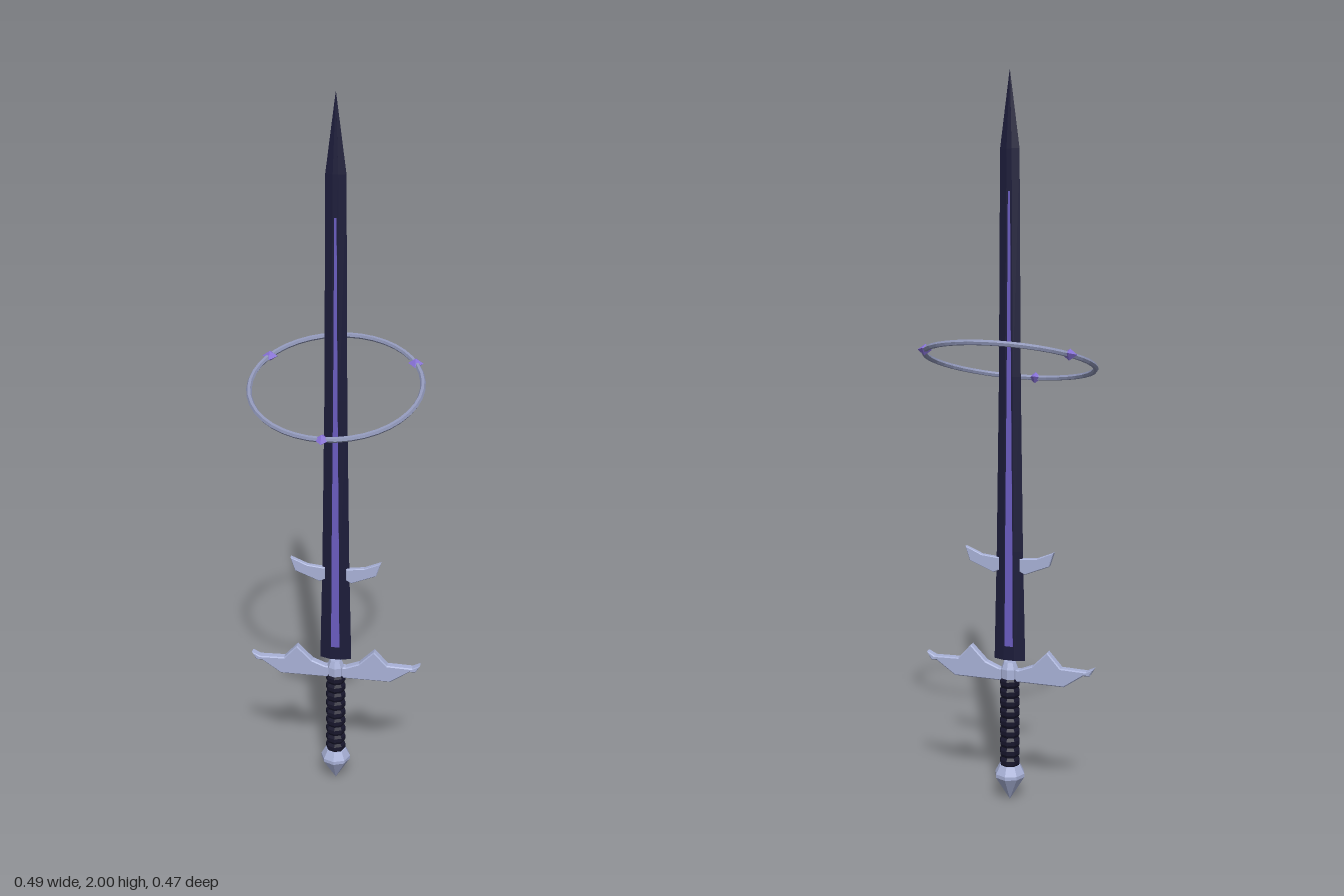
import * as THREE from 'three';

const mat = (color) => new THREE.MeshStandardMaterial({ color, flatShading: true });
const STEEL = mat(0xa9b2d8), RING = mat(0x8f96b8), DARK = mat(0x1c1c3a),
  LEATHER = mat(0x17162c), VIOLET = mat(0x6a5cc0), GEM = mat(0x8872d8);

function add(parent, name, geometry, material) {
  const mesh = new THREE.Mesh(geometry, material);
  mesh.name = name;
  parent.add(mesh);
  return mesh;
}

// Skin a stack of [y, corners] sections; corners [x, z] run from +x towards +z.
function loft(sections) {
  const n = sections[0][1].length, pos = [], idx = [];
  for (const [y, pts] of sections) for (const [x, z] of pts) pos.push(x, y, z);
  for (let j = 0; j < sections.length - 1; j++) {
    for (let i = 0; i < n; i++) {
      const a = j * n + i, c = j * n + (i + 1) % n;
      idx.push(a, a + n, c, c, a + n, c + n);
    }
  }
  const top = (sections.length - 1) * n;
  for (let i = 1; i < n - 1; i++) idx.push(0, i, i + 1, top, top + i + 1, top + i);
  const g = new THREE.BufferGeometry();
  g.setAttribute('position', new THREE.Float32BufferAttribute(pos, 3));
  g.setIndex(idx);
  g.computeVertexNormals();
  return g;
}

// Bevelled plate centred on z = 0
function plate(points, halfDepth, bevel) {
  const g = new THREE.ExtrudeGeometry(new THREE.Shape(points.map(([x, y]) => new THREE.Vector2(x, y))), {
    depth: 2 * (halfDepth - bevel), bevelEnabled: true, bevelThickness: bevel,
    bevelSize: bevel, bevelOffset: -bevel, bevelSegments: 1,
  });
  return g.translate(0, 0, bevel - halfDepth);
}

const lathe = (profile) =>
  new THREE.LatheGeometry(profile.map(([r, y]) => new THREE.Vector2(r, y)), 8);

export function createModel() {
  const model = new THREE.Group();
  const sword = new THREE.Group();
  sword.name = 'sword';
  sword.position.z = -0.01;
  model.add(sword);

  // Faceted pommel with a pointed end
  add(sword, 'pommel', lathe([[0, 0], [0.043, 0.07], [0.043, 0.08], [0.03, 0.104], [0, 0.104]]), STEEL);

  // Grip with wrapped ridges
  const grip = [[0, 0.1]];
  const wraps = 9, step = 0.26 / wraps;
  for (let i = 0; i < wraps; i++) {
    const y = 0.1 + i * step;
    grip.push([0.024, y], [0.029, y + step * 0.3], [0.029, y + step * 0.7]);
  }
  grip.push([0.024, 0.36], [0, 0.36]);
  add(sword, 'grip', lathe(grip), LEATHER);

  // Collar between grip and guard
  add(sword, 'collar', lathe([[0, 0.35], [0.025, 0.355], [0.025, 0.385], [0.017, 0.405], [0, 0.405]]), STEEL);

  // Crossguard: half outline mirrored, with a spike on each arm
  const half = [[0.02, 0.35], [0.16, 0.35], [0.215, 0.388], [0.232, 0.388], [0.245, 0.411],
    [0.222, 0.4], [0.15, 0.402], [0.112, 0.444], [0.068, 0.4], [0.03, 0.385]];
  const outline = [...half, ...half.map(([x, y]) => [-x, y]).reverse()];
  add(sword, 'crossguard', plate(outline, 0.012, 0.003), STEEL);

  // Blade: flattened hexagonal section tapering to a point
  const bladeSection = (w, f, t) => [[w, 0], [f, t], [-f, t], [-w, 0], [-f, -t], [f, -t]];
  add(sword, 'blade', loft([
    [0.41, bladeSection(0.045, 0.016, 0.01)],
    [0.72, bladeSection(0.038, 0.014, 0.009)],
    [1.2, bladeSection(0.031, 0.011, 0.008)],
    [1.8, bladeSection(0.027, 0.007, 0.006)],
    [2.0, bladeSection(0.0005, 0.0002, 0.0005)],
  ]), DARK);

  // Violet inlay along both faces
  const strip = (w, t) => [[w, -t], [w, t], [-w, t], [-w, -t]];
  add(sword, 'inlay', loft([
    [0.45, strip(0.012, 0.0108)],
    [0.78, strip(0.01, 0.0098)],
    [1.2, strip(0.006, 0.0088)],
    [1.69, strip(0.003, 0.0072)],
  ]), VIOLET);

  // Side lugs on the lower blade
  const lug = [[0.03, 0.665], [0.045, 0.657], [0.115, 0.685], [0.128, 0.725], [0.08, 0.705], [0.03, 0.7]];
  for (const s of [1, -1]) {
    const points = lug.map(([x, y]) => [s * x, y]);
    add(sword, s > 0 ? 'leftLug' : 'rightLug', plate(points, 0.008, 0.002), STEEL);
  }

  // Tilted floating ring carrying three gems
  const halo = new THREE.Group();
  halo.name = 'halo';
  halo.position.y = 1.242;
  halo.rotation.x = 0.305;
  sword.add(halo);
  const R = 0.231;
  add(halo, 'ring', new THREE.TorusGeometry(R, 0.0075, 6, 40).rotateX(Math.PI / 2), RING);
  for (let i = 0; i < 3; i++) {
    const a = i * Math.PI * 2 / 3;
    const gem = add(halo, 'gem', new THREE.OctahedronGeometry(0.021), GEM);
    gem.position.set(R * Math.sin(a), 0, R * Math.cos(a));
    gem.scale.y = 0.75;
  }
  return model;
}
